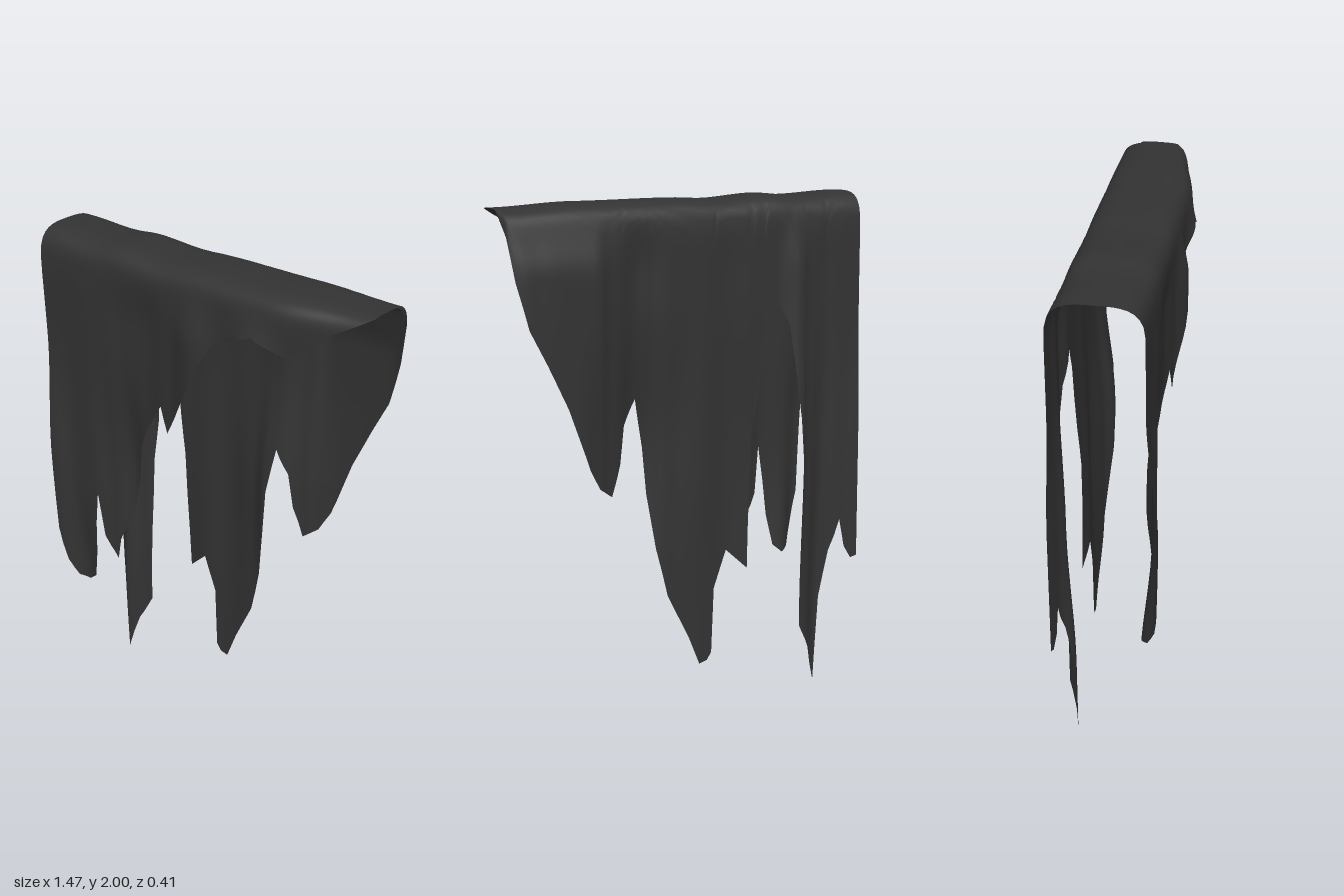
import * as THREE from 'three';

const ARCH_BASE = 1.85, HALF_DEPTH = 0.165, ARCH_LENGTH = 0.25, ROWS = 26;
const { lerp, smoothstep } = THREE.MathUtils;

// Ragged hems as [x, y], from the model's right to its left
const frontHem = [
  [-0.655, 0.73], [-0.62, 0.585], [-0.59, 0.505], [-0.555, 0.485], [-0.513, 0.52], [-0.487, 0.65],
  [-0.474, 0.8], [-0.455, 0.945], [-0.434, 0.75], [-0.41, 0.7], [-0.38, 0.655], [-0.365, 0.75],
  [-0.307, 0.9], [-0.27, 1.065], [-0.25, 1.2], [-0.21, 1.29], [-0.12, 1.425], [-0.085, 1.325],
  [0.026, 1.53], [0.075, 1.64], [0.143, 1.75], [0.317, 1.82], [0.45, 1.765], [0.62, 1.89], [0.735, 1.952],
];
const backHem = [
  [-0.73, 0.535], [-0.705, 0.525], [-0.677, 0.575], [-0.655, 0.69], [-0.615, 0.56], [-0.587, 0.36],
  [-0.571, 0], [-0.53, 0.155], [-0.474, 0.265], [-0.472, 0.6], [-0.468, 0.95], [-0.43, 1.3],
  [-0.405, 1.5], [-0.345, 1.61], [-0.31, 1.52], [-0.285, 1.24], [-0.258, 1.06], [-0.243, 0.7], [-0.238, 0.535],
  [-0.153, 0.615], [-0.1, 0.465], [-0.09, 0.2], [-0.07, 0.17], [-0.037, 0.16], [0.01, 0.28],
  [0.095, 0.455], [0.14, 0.65], [0.17, 0.865], [0.185, 1.05], [0.22, 1.24], [0.27, 1.145],
  [0.29, 1], [0.33, 0.88], [0.386, 0.92], [0.43, 1], [0.513, 1.235], [0.59, 1.4],
  [0.656, 1.53], [0.7, 1.7], [0.725, 1.86], [0.737, 1.952],
];

// Folds as [x, outward offset near the top, at mid height, near the bottom]
const frontFolds = [
  [-0.72, 0, 0.04, 0.03], [-0.64, 0, 0.04, 0.03], [-0.55, 0, 0.005, -0.04], [-0.46, 0.005, 0.005, -0.02],
  [-0.38, 0, -0.025, -0.025], [-0.3, -0.01, -0.058, -0.05], [-0.2, -0.015, -0.03, -0.03], [-0.08, 0, 0, 0],
  [0.05, 0.035, 0.03, 0.03], [0.17, 0.005, 0, 0], [0.31, 0.045, 0, 0], [0.45, 0, 0, 0], [0.74, 0, 0, 0],
];
const backFolds = [
  [-0.74, 0, 0.015, 0.015], [-0.65, 0, 0, 0], [-0.57, -0.005, -0.02, -0.045], [-0.5, 0.005, 0.01, 0],
  [-0.45, 0.025, 0.045, 0.01], [-0.36, 0, 0, 0], [-0.25, 0, -0.015, 0], [-0.15, -0.005, -0.02, -0.02],
  [-0.04, 0, -0.005, -0.015], [0.1, 0, -0.03, -0.025], [0.18, -0.01, -0.065, -0.03], [0.22, -0.015, -0.06, -0.03],
  [0.33, 0.015, -0.01, -0.02], [0.39, 0.04, 0.015, 0], [0.45, 0.04, 0.035, 0], [0.55, 0.04, 0.035, 0],
  [0.66, 0.035, 0.03, 0], [0.74, 0.01, 0, 0],
];

// Gently wavy ridge as [x, y]
const ridge = [[-0.714, 2], [-0.45, 1.986], [-0.35, 1.993], [-0.12, 1.976], [0, 1.98], [0.4, 1.973], [0.737, 1.956]];

// Smooth lookup of column c in a table ordered by x
function lookup(table, x, c) {
  const i = Math.max(1, table.findIndex((p) => x <= p[0]));
  const a = table[i - 1], b = table[i];
  return lerp(a[c], b[c], smoothstep(x, a[0], b[0]));
}

function foldAt(folds, x, y) {
  const [top, middle, bottom] = [1, 2, 3].map((c) => lookup(folds, x, c));
  const hanging = y > 1 ? lerp(middle, top, smoothstep(y, 1.05, 1.6)) : lerp(bottom, middle, smoothstep(y, 0.35, 1));
  return hanging * (1 - smoothstep(y, 1.72, 1.92));
}

// Length of cloth from the ridge down to height y
function clothLength(ridgeY, y) {
  if (y <= ARCH_BASE) return ARCH_LENGTH + ARCH_BASE - y;
  const c = Math.min(1, (y - ARCH_BASE) / (ridgeY - ARCH_BASE)) ** (1 / 0.6);
  return ARCH_LENGTH * Math.acos(c) / (Math.PI / 2);
}

// One hanging half: columns follow the hem, rows run from the ridge to it
function clothHalf(name, hem, folds, side, edgeFlare, endTaper, material) {
  const columns = [];
  hem.forEach(([x, y], i) => {
    if (i) {
      const [px, py] = hem[i - 1];
      const steps = Math.ceil(Math.max((x - px) / 0.025, Math.abs(y - py) / 0.2));
      for (let k = 1; k < steps; k++) columns.push([lerp(px, x, k / steps), lerp(py, y, k / steps)]);
    }
    columns.push([x, y]);
  });

  const positions = [], indices = [], startX = hem[0][0];
  columns.forEach(([x, hemY], i) => {
    const flare = edgeFlare * Math.max(0, 1 - (x - startX) / 0.3);
    const ridgeY = lookup(ridge, x + flare, 1);
    const total = clothLength(ridgeY, hemY);
    const depth = HALF_DEPTH - endTaper * smoothstep(x, 0.35, 0.735);
    for (let j = 0; j <= ROWS; j++) {
      const t = (j / ROWS) ** 1.5, s = total * t;
      const a = Math.min(1, s / ARCH_LENGTH) * Math.PI / 2;
      const c = Math.max(0, Math.cos(a));
      const y = ARCH_BASE + (ridgeY - ARCH_BASE) * c ** 0.6 - Math.max(0, s - ARCH_LENGTH);
      const z = depth * Math.sin(a) ** 0.6 + foldAt(folds, x, y) * Math.sin(a);
      positions.push(x + flare * (1 - t), y, side * z);
      if (i && j) {
        const d = i * (ROWS + 1) + j, b = d - ROWS - 1;
        const quad = [b - 1, b, d, b - 1, d, d - 1];
        indices.push(...(side > 0 ? quad : quad.reverse()));
      }
    }
  });

  const geometry = new THREE.BufferGeometry();
  geometry.setAttribute('position', new THREE.Float32BufferAttribute(positions, 3));
  geometry.setIndex(indices);
  geometry.computeVertexNormals();
  // Shared upright normals hide the join along the ridge
  for (let i = 0; i < columns.length; i++) geometry.attributes.normal.setXYZ(i * (ROWS + 1), 0, 1, 0);
  const mesh = new THREE.Mesh(geometry, material);
  mesh.name = name;
  return mesh;
}

export function createModel() {
  const group = new THREE.Group();
  group.name = 'tornDrapedCloth';
  const material = new THREE.MeshStandardMaterial({ color: 0x333333, side: THREE.DoubleSide });
  group.add(clothHalf('frontCloth', frontHem, frontFolds, 1, -0.059, 0.06, material));
  group.add(clothHalf('backCloth', backHem, backFolds, -1, 0.016, 0, material));
  return group;
}
